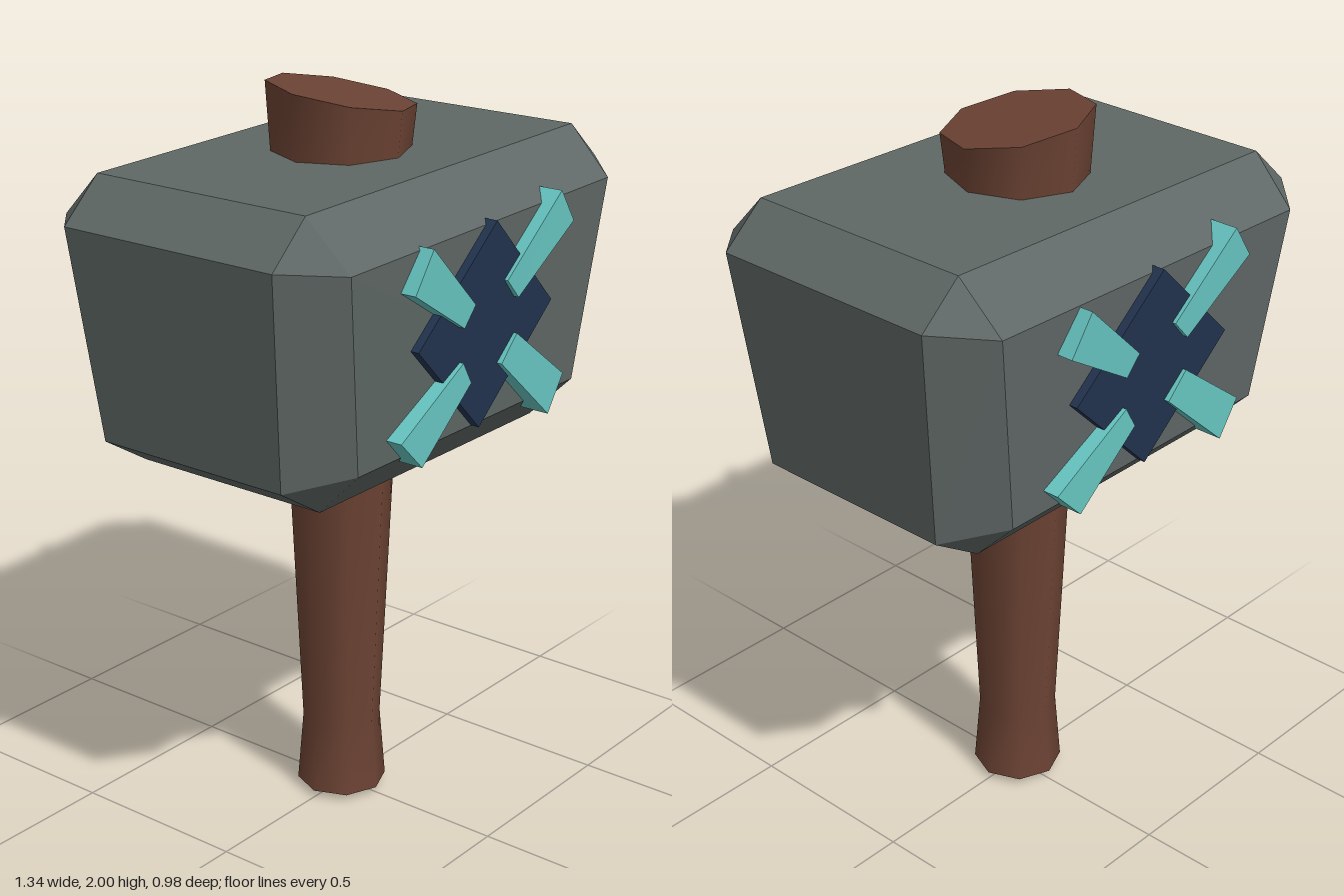
import * as THREE from 'three';
import { toCreasedNormals } from 'three/addons/utils/BufferGeometryUtils.js';
import { ConvexGeometry } from 'three/addons/geometries/ConvexGeometry.js';

const material = (name, color, flatShading = false) => {
  const m = new THREE.MeshStandardMaterial({ color, flatShading });
  m.name = name;
  return m;
};

const named = (name, geometry, mat) => {
  const mesh = new THREE.Mesh(geometry, mat);
  mesh.name = name;
  return mesh;
};

// Flared eight-sided shaft with a slanted top and a shallow point underneath
function handleGeometry() {
  const rings = [[0.02, 0.123], [0.22, 0.107], [1.04, 0.144], [1.83, 0.182], [1.965, 0.193]];
  const last = rings.length - 1;
  const geo = new THREE.CylinderGeometry(1, 1, last, 8, last);
  const p = geo.attributes.position;
  for (let i = 0; i < p.count; i++) {
    const k = Math.round(p.getY(i) + last / 2);
    const [y, r] = rings[k];
    const x = p.getX(i) * r, z = p.getZ(i) * r;
    let h = y;
    if (k === last) h -= 0.125 * (x + z);
    if (k === 0 && Math.hypot(x, z) < 0.01) h = 0;
    p.setXYZ(i, x, h, z);
  }
  return toCreasedNormals(geo, 0.9);
}

// Tapered block with every edge chamfered; its top slopes slightly across x
function headGeometry() {
  const points = [];
  const corners = [
    [0.55, 1.822, 0.33], [0.67, 1.714, 0.33], [0.54, 1.698, 0.455],
    [0.455, 1.04, 0.29], [0.60, 1.132, 0.29], [0.463, 1.165, 0.415],
  ];
  for (const sx of [-1, 1]) for (const sz of [-1, 1]) for (const [x, y, z] of corners) {
    const tilt = y > 1.5 ? 0.0225 * sx * x : 0;
    points.push(new THREE.Vector3(sx * x, y + tilt, sz * z));
  }
  return new ConvexGeometry(points);
}

// Flat outline pushed from a buried back plane to a front surface z = front(x, y)
function raisedPlate(outline, back, front) {
  const shape = new THREE.Shape(outline.map(([x, y]) => new THREE.Vector2(x, y)));
  const geo = new THREE.ExtrudeGeometry(shape, { depth: 1, bevelEnabled: false });
  const p = geo.attributes.position;
  for (let i = 0; i < p.count; i++) {
    if (p.getZ(i) > 0.5) p.setZ(i, front(p.getX(i), p.getY(i)));
    else p.setZ(i, back);
  }
  geo.computeVertexNormals();
  return geo;
}

export function createModel() {
  const model = new THREE.Group();
  model.name = 'warHammer';
  const wood = material('brown wood', 0x6b4233);
  const stone = material('grey stone', 0x5f6866, true);
  const navy = material('navy inlay', 0x22344f, true);
  const teal = material('teal inlay', 0x66c4c0, true);

  const handle = named('handle', handleGeometry(), wood);
  handle.position.x = -0.007;
  model.add(handle, named('head', headGeometry(), stone));

  // Diamond with four diagonal bars, repeated on the back face
  const diamond = [[0, 1.71], [-0.287, 1.44], [0, 1.165], [0.282, 1.44]];
  const bars = {
    upperRightBar: [[-0.275, 1.70], [-0.345, 1.60], [-0.125, 1.465], [-0.08, 1.515]],
    upperLeftBar: [[0.265, 1.735], [0.055, 1.545], [0.105, 1.49], [0.325, 1.645]],
    lowerRightBar: [[-0.36, 1.23], [-0.275, 1.145], [-0.075, 1.31], [-0.11, 1.37]],
    lowerLeftBar: [[0.12, 1.39], [0.055, 1.325], [0.275, 1.13], [0.34, 1.225]],
  };
  const diamondFront = (x, y) => 0.48 - 0.075 * (1.71 - y);
  const barFront = (x, y) => (y < 1.42 ? 0.466 : Math.abs(x) > 0.2 ? 0.492 : 0.478);

  for (const side of ['front', 'back']) {
    const emblem = new THREE.Group();
    emblem.name = side + 'Emblem';
    emblem.add(named('diamond', raisedPlate(diamond, 0.39, diamondFront), navy));
    for (const [name, outline] of Object.entries(bars)) {
      emblem.add(named(name, raisedPlate(outline, 0.38, barFront), teal));
    }
    if (side === 'back') emblem.rotation.y = Math.PI;
    model.add(emblem);
  }
  return model;
}
